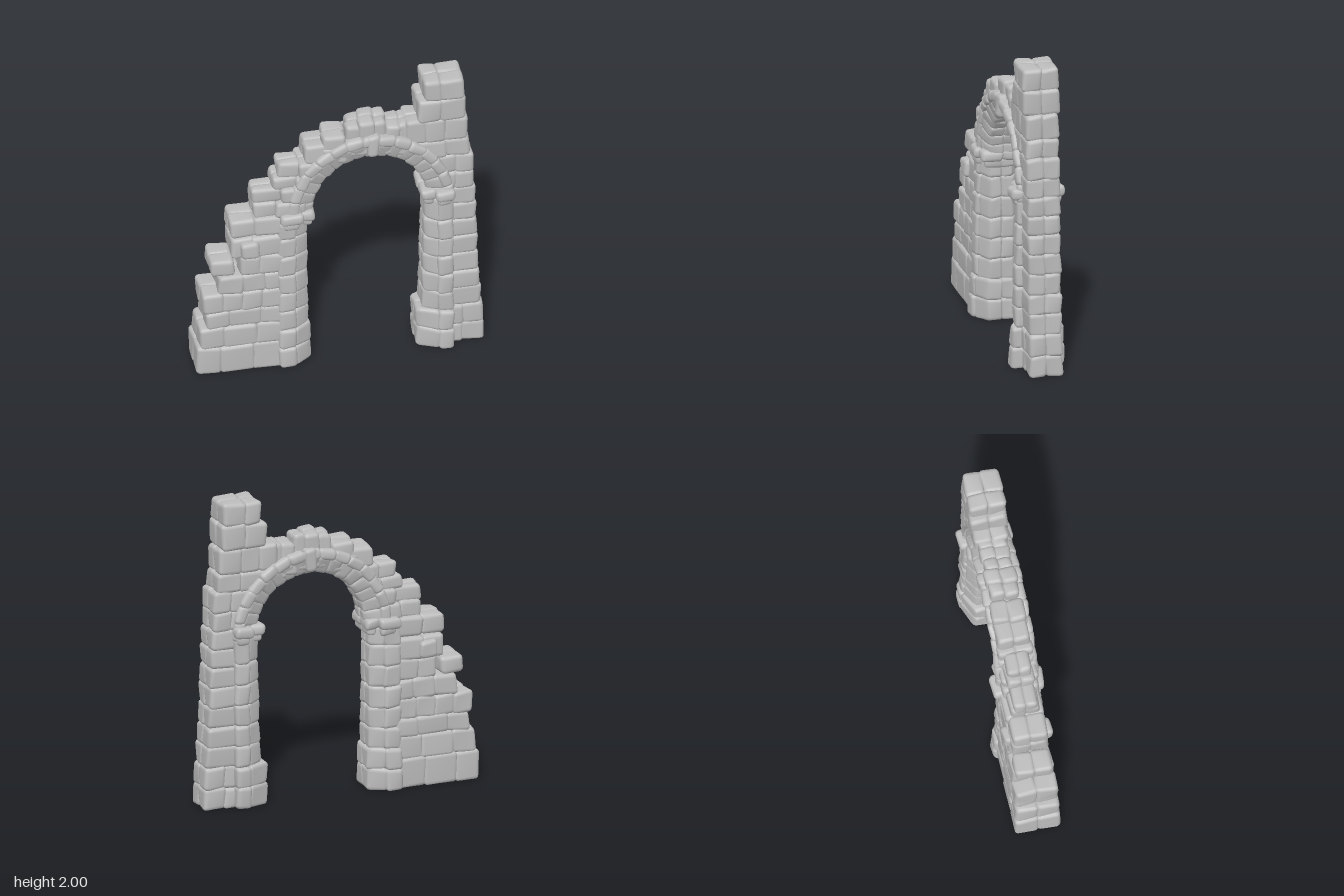
import * as THREE from 'three';
import { mergeGeometries, mergeVertices } from 'three/addons/utils/BufferGeometryUtils.js';
import { RoundedBoxGeometry } from 'three/addons/geometries/RoundedBoxGeometry.js';

const CX = 0.197, CY = 1.1; // centre of the arch

export function createModel() {
  const model = new THREE.Group();
  model.name = 'ruinedArch';
  const stone = new THREE.MeshStandardMaterial({ color: 0xbcbcbc });
  stone.name = 'stone';

  let seed = 7;
  const rnd = () => (seed = (seed * 16807) % 2147483647) / 2147483647;
  const vary = (a) => (rnd() - 0.5) * 2 * a;

  // One worn stone between two corners, overlapping its neighbours so the
  // seams stay shallow; an optional map bends it afterwards
  function block(x0, x1, y0, y1, z0, z1, map) {
    const size = [x1 - x0 + 0.018, y1 - y0 + 0.014, z1 - z0 + 0.014];
    const g = new RoundedBoxGeometry(...size, 2, Math.min(0.028, Math.min(...size) * 0.38));
    g.deleteAttribute('uv');
    g.deleteAttribute('normal');
    g.clearGroups();
    g.translate((x0 + x1) / 2, (y0 + y1) / 2, (z0 + z1) / 2);
    const p = g.attributes.position, v = new THREE.Vector3(), ph = rnd() * 6;
    for (let i = 0; i < p.count; i++) {
      v.fromBufferAttribute(p, i);
      const { x, y, z } = v;
      v.x += 0.004 * Math.sin(y * 31 + z * 23 + ph);
      v.y += 0.004 * Math.sin(x * 27 + z * 35 + ph * 2);
      v.z += 0.004 * Math.sin(x * 33 + y * 29 + ph * 3);
      if (map) map(v);
      v.y = Math.max(0, v.y);
      p.setXYZ(i, v.x, v.y, v.z);
    }
    const m = mergeVertices(g, 1e-4);
    m.computeVertexNormals();
    return m;
  }

  // A front and a back stone meeting in the middle of the wall
  const pair = (x0, x1, y0, y1, h, map) => [
    block(x0, x1, y0, y1, 0, h - 0.005 + vary(0.004), map),
    block(x0, x1, y0, y1, -h + 0.005 + vary(0.004), 0, map),
  ];

  // A course of stones of uneven width; the first may be thinner than the rest
  function course(x0, x1, y0, y1, h, width, firstH = h) {
    const n = Math.max(1, Math.round((x1 - x0) / width)), out = [];
    let a = x0;
    for (let i = 1; i <= n; i++) {
      const b = i === n ? x1 : x0 + ((x1 - x0) * (i + vary(0.2))) / n;
      out.push(...pair(a, b, y0, y1 + vary(0.004), i === 1 ? firstH : h));
      a = b;
    }
    return out;
  }

  function part(name, list) {
    const mesh = new THREE.Mesh(mergeGeometries(list), stone);
    mesh.name = name;
    model.add(mesh);
  }

  // Half width of the masonry cut-out behind the arch ring
  const cut = (y) => Math.sqrt(Math.max(0, 0.425 ** 2 - Math.max(0, y - CY) ** 2));

  // Broken stepped wall: [bottom, top, left end, thickness of the end stone]
  const wall = [];
  const steps = [
    [0, 0.185, -0.91], [0.185, 0.33, -0.89], [0.33, 0.445, -0.85], [0.445, 0.575, -0.87],
    [0.575, 0.7, -0.77], [0.7, 0.83, -0.63], [0.83, 0.965, -0.685, 0.115], [0.985, 1.1, -0.69, 0.11],
    [1.1, 1.2, -0.54, 0.09], [1.2, 1.295, -0.55, 0.078], [1.295, 1.37, -0.42, 0.085],
    [1.37, 1.47, -0.38, 0.075], [1.47, 1.59, -0.215, 0.1],
  ];
  for (const [y0, y1, x0, firstH] of steps) {
    const x1 = y0 < 1.1 ? -0.36 : CX - cut(y0);
    const h = 0.146 - 0.03 * Math.min(1, y0 / 1.1);
    wall.push(...course(x0, x1, y0, y1, h, y0 < 0.3 ? 0.19 : 0.14, firstH));
  }
  wall.push(...pair(-0.815, -0.68, 0.71, 0.81, 0.12));
  wall.push(...pair(-0.63, -0.53, 0.84, 0.94, 0.152));
  part('brokenWall', wall);

  // Rubble on top of the arch: [left, right, bottom, top, half thickness]
  const rubble = [
    [-0.1, 0.03, 1.52, 1.65, 0.1], [0.05, 0.13, 1.56, 1.715, 0.085], [0.13, 0.22, 1.56, 1.735, 0.095],
    [0.22, 0.29, 1.56, 1.72, 0.08], [0.3, 0.38, 1.54, 1.69, 0.09], [0.38, 0.46, 1.52, 1.69, 0.085],
  ];
  part('topRubble', rubble.flatMap(([a, b, c, d, h]) => [
    block(a, b, c, d - rnd() * 0.02, 0, h),
    block(a + 0.01, b + 0.01, c, d - rnd() * 0.02, -h, 0),
    block(a - 0.01, b + 0.01, c - 0.06, c + 0.045, -0.105, 0.105),
  ]));

  // Tall buttress and tower: [bottom, right end]
  const tower = [];
  const levels = [
    [0, 0.91], [0.13, 0.905], [0.27, 0.892], [0.4, 0.882], [0.53, 0.875], [0.66, 0.87], [0.79, 0.866],
    [0.92, 0.86], [1.04, 0.856], [1.16, 0.845], [1.28, 0.845], [1.41, 0.818], [1.53, 0.807],
    [1.69, 0.793], [1.845, 0.782], [1.982],
  ];
  for (let i = 0; i < levels.length - 1; i++) {
    const [y0, x1] = levels[i], y1 = levels[i + 1][0];
    let x0 = y0 < 1.1 ? 0.68 : CX + cut(y0);
    if (y0 > 1.5) x0 = [0.43, 0.505, 0.545][i - 12];
    tower.push(...course(x0, x1, y0, y1, y0 > 1.6 ? 0.115 : 0.105, 0.15));
  }
  part('tower', tower);

  // Piers of the opening: a projecting pilaster and a jamb splayed inwards.
  // foot and shaft are the inner ends at the base and above it
  function pier(name, foot, shaft, neck, mid, outer, top) {
    const list = [], ys = [0, 0.135, 0.265];
    while (ys.at(-1) < top - 0.2) ys.push(ys.at(-1) + 0.135);
    ys.push(top);
    for (let i = 0; i < ys.length - 1; i++) {
      const y0 = ys[i], y1 = ys[i + 1], base = i < 2;
      const a = base ? foot : shaft + ((neck - shaft) * y0) / top;
      const h = base ? 0.17 - i * 0.006 : 0.152 - 0.02 * (y0 / top);
      const splay = (v) => {
        const t = THREE.MathUtils.clamp((v.x - mid) / (a - mid), 0, 1);
        v.z *= 1 - 0.38 * t;
      };
      list.push(...pair(Math.min(mid, outer), Math.max(mid, outer), y0, y1, h));
      list.push(...pair(Math.min(a, mid), Math.max(a, mid), y0, y1, h - 0.012, splay));
    }
    part(name, list);
  }
  pier('rightPier', -0.192, -0.205, -0.212, -0.29, -0.39, 1.06);
  pier('leftPier', 0.495, 0.53, 0.555, 0.625, 0.71, 1.1);

  // Capitals: a necking under a wider slab
  function capital(name, x0, xm, x1, y, hs) {
    const list = [];
    for (const [a, b, h] of [[x0, xm, hs[0]], [xm, x1, hs[1]]]) {
      list.push(...pair(a + 0.02, b - 0.02, y - 0.045, y + 0.01, h - 0.02));
      list.push(...pair(a, b, y, y + 0.06, h));
    }
    part(name, list);
  }
  capital('rightCapital', -0.38, -0.25, -0.17, 1.06, [0.165, 0.13]);
  capital('leftCapital', 0.52, 0.61, 0.72, 1.115, [0.13, 0.172]);

  // Arch stones laid flat, then bent round the centre; splay thins the inner edge
  function ring(count, r0, r1, z0, z1, splay) {
    const rm = (r0 + r1) / 2, s = (Math.PI * rm) / count, list = [];
    const bend = (v) => {
      const a = v.x / rm, r = v.y;
      const t = THREE.MathUtils.clamp((r1 - r) / (r1 - r0), 0, 1);
      v.set(CX - r * Math.cos(a), CY + r * Math.sin(a), v.z * (1 - splay * t));
    };
    for (let i = 0; i < count; i++) {
      list.push(block(i * s, (i + 1) * s, r0, r1, z0, z1, bend));
      list.push(block(i * s, (i + 1) * s, r0, r1, -z1, -z0, bend));
    }
    return list;
  }
  part('archStones', ring(17, 0.37, 0.475, 0, 0.122, 0.3));
  part('archMoulding', ring(15, 0.465, 0.525, 0.05, 0.13, 0));

  // Wedge-shaped keystone
  const wedge = (v) => { v.x = CX + 0.01 + (v.x - CX) * (1 + (v.y - 1.56) * 2); };
  part('keystone', [block(CX - 0.03, CX + 0.03, 1.495, 1.635, -0.135, 0.135, wedge)]);

  return model;
}
